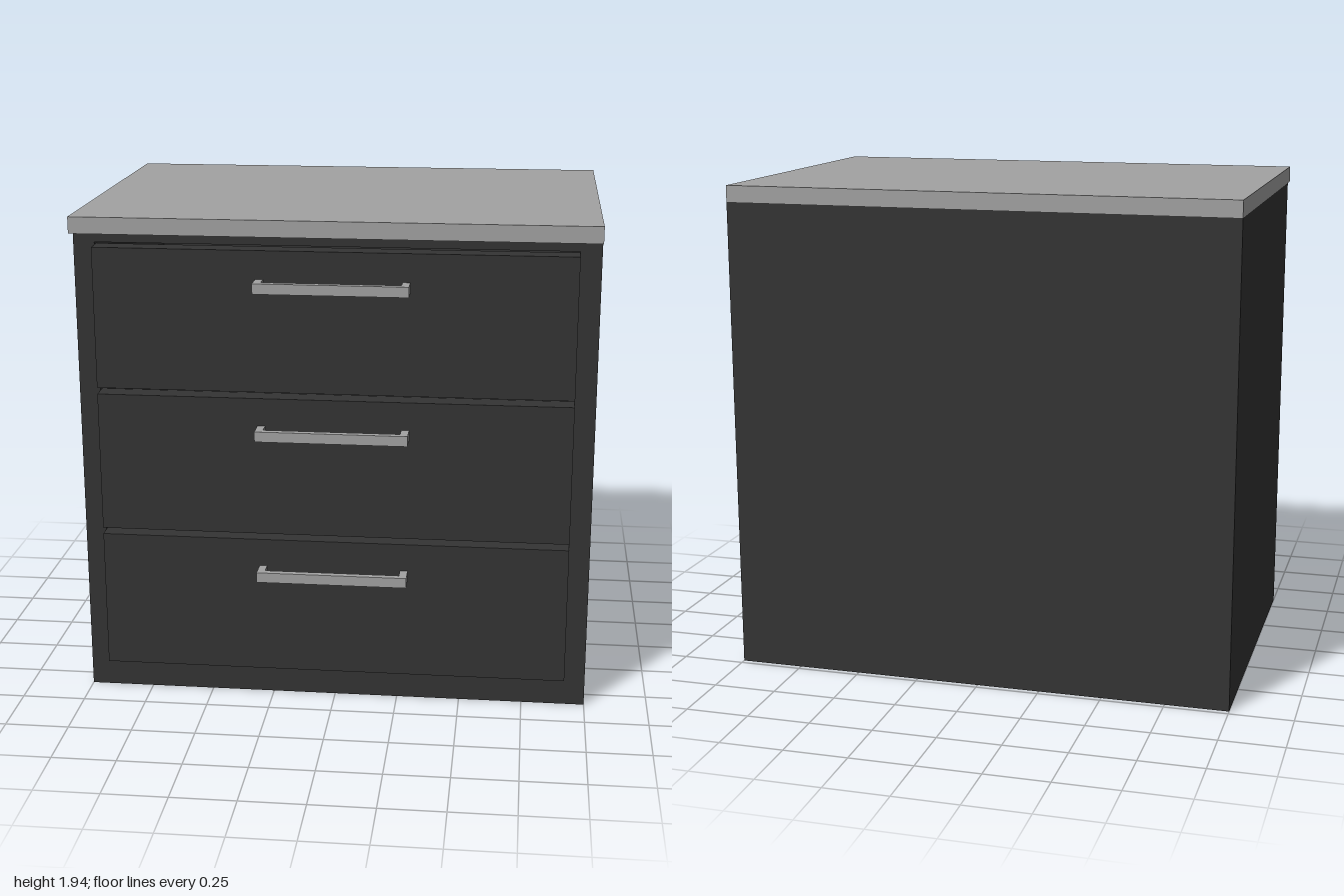
import * as THREE from 'three';

const darkPaint = new THREE.MeshStandardMaterial({ color: 0x343434 });
const greyMetal = new THREE.MeshStandardMaterial({ color: 0xa2a2a2 });
darkPaint.name = 'darkPaint';
greyMetal.name = 'greyMetal';

// Box given by its lower and upper bounds on each axis
function box(name, material, [x0, x1], [y0, y1], [z0, z1]) {
  const mesh = new THREE.Mesh(new THREE.BoxGeometry(x1 - x0, y1 - y0, z1 - z0), material);
  mesh.position.set((x0 + x1) / 2, (y0 + y1) / 2, (z0 + z1) / 2);
  mesh.name = name;
  return mesh;
}

const BACK = -0.727, FRONT = 0.594, FACE = 0.648;
const INNER = 0.918, FLOOR = 0.124, CEILING = 1.837, TOP = 1.88;

// Hollow cabinet body, open at the front
function createCarcass() {
  const carcass = new THREE.Group();
  carcass.name = 'carcass';
  const depth = [BACK, FRONT];
  const inside = [-INNER, INNER];
  carcass.add(
    box('rightSide', darkPaint, [-1, -INNER], [0, TOP], depth),
    box('leftSide', darkPaint, [INNER, 1], [0, TOP], depth),
    box('base', darkPaint, inside, [0, FLOOR], depth),
    box('topRail', darkPaint, inside, [CEILING, TOP], depth),
    box('backPanel', darkPaint, inside, [FLOOR, CEILING], [BACK, BACK + 0.08])
  );
  return carcass;
}

// Bar handle on two posts, centred on height y
function createHandle(y) {
  const handle = new THREE.Group();
  handle.name = 'handle';
  const height = [y - 0.02, y + 0.02];
  handle.add(box('handleBar', greyMetal, [-0.293, 0.293], height, [0.7, FACE + 0.079]));
  for (const side of [-1, 1]) {
    const x = side * 0.278;
    handle.add(box('handlePost', greyMetal, [x - 0.015, x + 0.015], height, [FACE, 0.7]));
  }
  return handle;
}

// Drawer front filling the opening and standing proud of it
function createDrawer(bottom) {
  const drawer = new THREE.Group();
  drawer.name = 'drawer';
  drawer.add(
    box('drawerFront', darkPaint, [-INNER, INNER], [bottom, bottom + 0.551], [FRONT - 0.03, FACE]),
    createHandle(bottom + 0.421)
  );
  return drawer;
}

export function createModel() {
  const model = new THREE.Group();
  model.name = 'drawerCabinet';
  model.add(createCarcass());
  for (let i = 0; i < 3; i++) model.add(createDrawer(FLOOR + i * 0.576));
  // Worktop overhanging the front
  model.add(box('worktop', greyMetal, [-1, 1], [TOP, 1.944], [BACK, 0.662]));
  return model;
}
